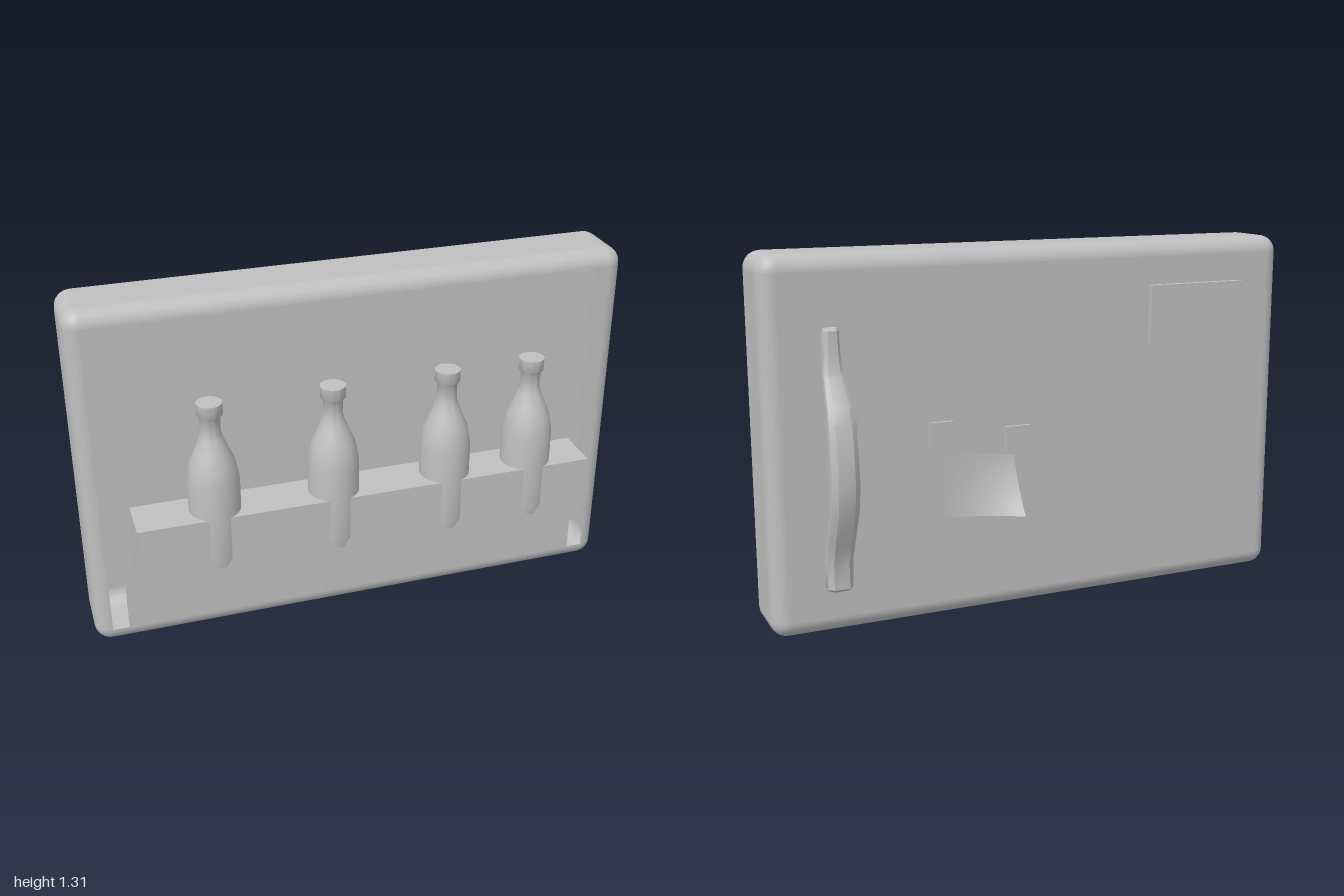
import * as THREE from 'three';
import { toCreasedNormals } from 'three/addons/utils/BufferGeometryUtils.js';
import { RoundedBoxGeometry } from 'three/addons/geometries/RoundedBoxGeometry.js';

export function createModel() {
  const group = new THREE.Group();
  group.name = 'fridgeDoor';
  const grey = new THREE.MeshStandardMaterial({ color: 0xbfbfbf, side: THREE.DoubleSide });
  grey.name = 'plain grey';

  const add = (name, geometry, x = 0, y = 0, z = 0) => {
    const mesh = new THREE.Mesh(geometry, grey);
    mesh.name = name;
    mesh.position.set(x, y, z);
    group.add(mesh);
  };
  // box given by its limits
  const block = (name, x0, x1, y0, y1, z0, z1) =>
    add(name, new THREE.BoxGeometry(x1 - x0, y1 - y0, z1 - z0), (x0 + x1) / 2, (y0 + y1) / 2, (z0 + z1) / 2);

  // hollow door shell: rounded box with its flat front removed
  const W = 2, H = 1.31, D = 0.27, R = 0.06, zMid = -0.01;
  const box = new RoundedBoxGeometry(W, H, D, 4, R);
  const p = box.attributes.position, n = box.attributes.normal;
  const pos = [], nor = [];
  for (let i = 0; i < p.count; i += 3) {
    if ([0, 1, 2].every((k) => p.getZ(i + k) > D / 2 - 1e-4)) continue;
    for (let k = i; k < i + 3; k++) {
      pos.push(p.getX(k), p.getY(k), p.getZ(k));
      nor.push(n.getX(k), n.getY(k), n.getZ(k));
    }
  }
  const shell = new THREE.BufferGeometry();
  shell.setAttribute('position', new THREE.Float32BufferAttribute(pos, 3));
  shell.setAttribute('normal', new THREE.Float32BufferAttribute(nor, 3));
  add('doorShell', shell, 0, H / 2, zMid);

  // inner panel, leaving an open slot on each side
  add('innerPanel', new THREE.PlaneGeometry(1.76, 1.186), 0, 0.653, 0.125);

  // bottle shelf
  block('shelf', -0.84, 0.835, 0.31, 0.57, 0.13, 0.3);

  // bottles
  const profile = [
    [0, 0.355], [0.06, 0.355], [0.084, 0.37], [0.091, 0.41], [0.091, 0.69], [0.078, 0.76],
    [0.056, 0.81], [0.04, 0.85], [0.035, 0.87], [0.035, 0.925], [0.045, 0.938], [0.045, 0.98], [0, 0.98],
  ].map(([r, y]) => new THREE.Vector2(r, y));
  const bottle = toCreasedNormals(new THREE.LatheGeometry(profile, 32), 0.7);
  for (const x of [-0.555, -0.125, 0.295, 0.615]) add('bottle', bottle, x, 0, 0.217);

  // handle: chamfered sections as [y, inner z, outer z, half width]
  const sections = [
    [0.17, -0.12, -0.198, 0.04], [0.178, -0.12, -0.205, 0.045], [0.27, -0.135, -0.205, 0.045],
    [0.34, -0.165, -0.233, 0.046], [0.465, -0.228, -0.289, 0.047], [0.56, -0.245, -0.305, 0.048],
    [0.66, -0.24, -0.298, 0.047], [0.77, -0.23, -0.283, 0.046], [0.815, -0.21, -0.263, 0.043],
    [0.915, -0.16, -0.196, 0.035], [0.98, -0.135, -0.187, 0.028], [1.06, -0.13, -0.187, 0.025],
    [1.068, -0.13, -0.18, 0.021],
  ];
  const outline = [[1, 0.5], [0.6, 1], [-0.6, 1], [-1, 0.5], [-1, -0.5], [-0.6, -1], [0.6, -1], [1, -0.5]];
  const verts = [], index = [], N = outline.length;
  sections.forEach(([y, zi, zo, w], j) => {
    outline.forEach(([u, v], i) => {
      verts.push(0.772 + u * w, y, (zi + zo) / 2 + (v * (zi - zo)) / 2);
      if (j === sections.length - 1) return;
      const a = j * N + i, b = j * N + ((i + 1) % N);
      index.push(a, a + N, b, b, a + N, b + N);
    });
  });
  const top = (sections.length - 1) * N;
  for (let i = 1; i < N - 1; i++) index.push(0, i, i + 1, top, top + i + 1, top + i);
  const handle = new THREE.BufferGeometry();
  handle.setAttribute('position', new THREE.Float32BufferAttribute(verts, 3));
  handle.setIndex(index);
  add('handle', toCreasedNormals(handle, 0.6));

  // plate and two square magnets on the back
  block('backPlate', -0.82, -0.43, 0.93, 1.15, -0.168, -0.14);
  block('magnet', 0.34, 0.43, 0.62, 0.715, -0.157, -0.14);
  block('magnet', 0.05, 0.145, 0.58, 0.675, -0.157, -0.14);

  // paper note with one lower corner curling away from the door
  const note = new THREE.PlaneGeometry(0.27, 0.24, 12, 12);
  const q = note.attributes.position;
  for (let i = 0; i < q.count; i++) {
    const a = THREE.MathUtils.clamp(0.5 - q.getX(i) / 0.27, 0, 1);
    const b = THREE.MathUtils.clamp(0.5 - q.getY(i) / 0.24, 0, 1);
    q.setZ(i, -0.1 * Math.pow(a, 1.7) * Math.pow(b, 1.4));
    q.setY(i, q.getY(i) - 0.035 * a * (1 - b));
  }
  note.computeVertexNormals();
  add('paperNote', note, 0.245, 0.485, -0.147);

  return group;
}
